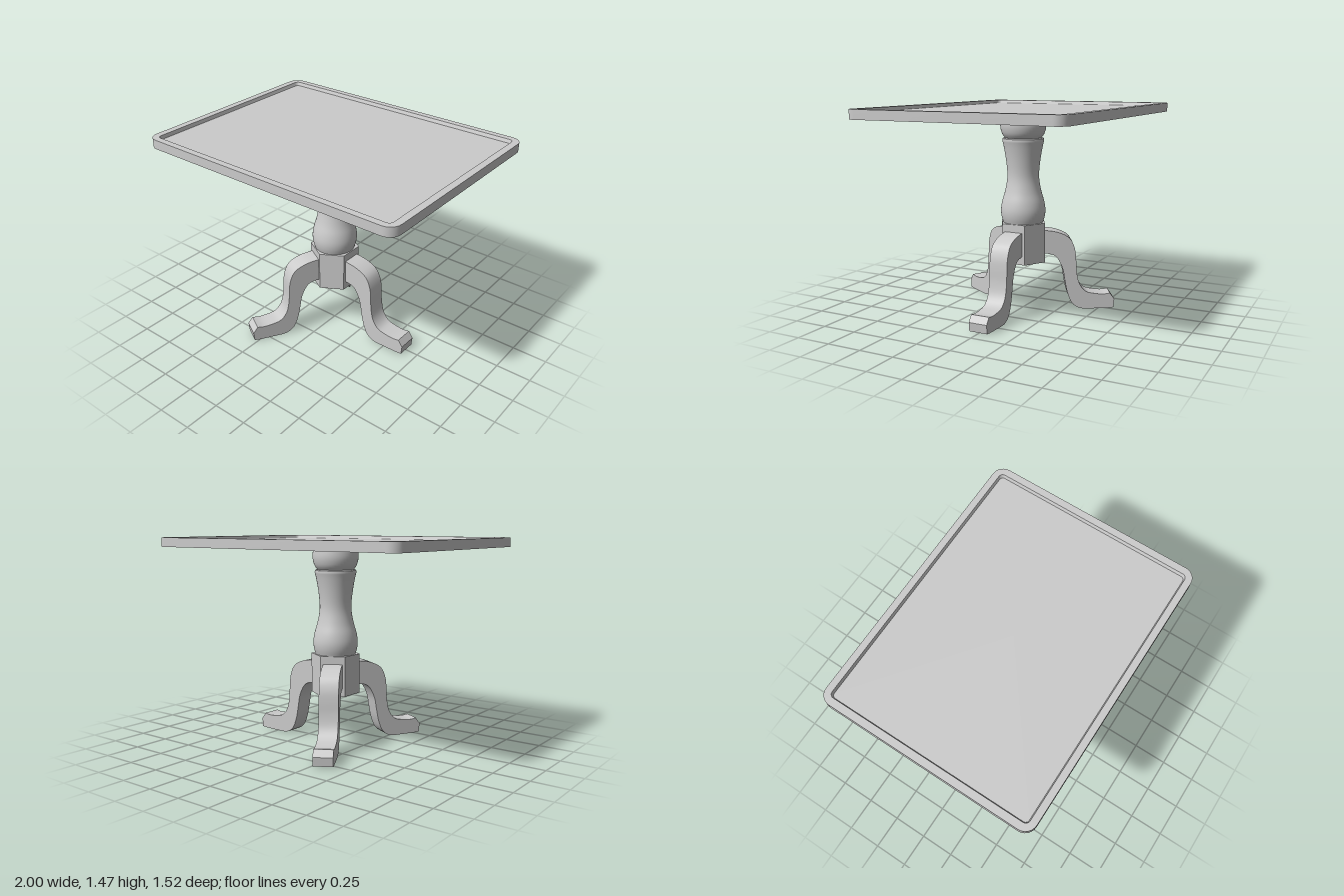
import * as THREE from 'three';
import { toCreasedNormals } from 'three/addons/utils/BufferGeometryUtils.js';

const grey = new THREE.MeshStandardMaterial({ color: 0xcccccc });
const greyThin = new THREE.MeshStandardMaterial({ color: 0xcccccc, side: THREE.DoubleSide });

function part(name, geometry, material = grey) {
  const mesh = new THREE.Mesh(geometry, material);
  mesh.name = name;
  return mesh;
}

const vectors = (pairs) => pairs.map(([x, y]) => new THREE.Vector2(x, y));
const smooth = (pairs, n) => new THREE.SplineCurve(vectors(pairs)).getPoints(n);

// Rounded rectangle ring at height y, counterclockwise seen from above
function ring(halfX, halfZ, radius, y, steps = 6) {
  const points = [];
  [[1, 1], [-1, 1], [-1, -1], [1, -1]].forEach(([sx, sz], corner) => {
    for (let i = 0; i <= steps; i++) {
      const a = (corner + i / steps) * Math.PI / 2;
      points.push([
        sx * (halfX - radius) + radius * Math.cos(a),
        y,
        -sz * (halfZ - radius) - radius * Math.sin(a),
      ]);
    }
  });
  return points;
}

// Skin over successive rings of equal point count
function loft(rings) {
  const n = rings[0].length;
  const index = [];
  for (let r = 0; r < rings.length - 1; r++) {
    for (let j = 0; j < n; j++) {
      const a = r * n + j, b = r * n + (j + 1) % n;
      index.push(a, b, b + n, a, b + n, a + n);
    }
  }
  const geometry = new THREE.BufferGeometry();
  geometry.setAttribute('position', new THREE.Float32BufferAttribute(rings.flat(2), 3));
  geometry.setIndex(index);
  return toCreasedNormals(geometry, 0.5);
}

// Side outline of a leg, running outwards along +x
function legGeometry() {
  const upper = smooth([[0.1, 0.587], [0.16, 0.583], [0.25, 0.567], [0.33, 0.525], [0.367, 0.45],
    [0.378, 0.37], [0.383, 0.28], [0.403, 0.19], [0.45, 0.13], [0.52, 0.112], [0.58, 0.107], [0.628, 0.114]], 36);
  const lower = smooth([[0.62, 0.002], [0.5, 0], [0.41, 0.004], [0.35, 0.045], [0.315, 0.13], [0.297, 0.22],
    [0.28, 0.305], [0.24, 0.382], [0.19, 0.41], [0.1, 0.418]], 32);
  const outline = [...upper, ...vectors([[0.661, 0.068], [0.655, 0.006]]), ...lower];
  const geometry = new THREE.ExtrudeGeometry(new THREE.Shape(outline), { depth: 0.135, bevelEnabled: false });
  geometry.translate(0, 0, -0.0675);
  return toCreasedNormals(geometry, 0.5);
}

export function createModel() {
  const table = new THREE.Group();
  table.name = 'pedestalTable';

  // Hollow top: apron, raised rim, sloped step and sunken panel
  table.add(part('tabletop', loft([
    ring(1, 0.762, 0.08, 1.4),
    ring(1, 0.762, 0.08, 1.465),
    ring(0.95, 0.716, 0.03, 1.465),
    ring(0.942, 0.708, 0.025, 1.44),
    ring(0, 0, 0, 1.44),
  ]), greyThin));

  // Turned column: lower vase, then the cap above the groove
  const vase = smooth([[0.142, 0.635], [0.155, 0.68], [0.159, 0.73], [0.15, 0.79], [0.13, 0.86],
    [0.115, 0.94], [0.114, 1.01], [0.124, 1.1], [0.138, 1.18], [0.148, 1.222]], 32);
  const cap = smooth([[0.13, 1.242], [0.15, 1.272], [0.162, 1.32], [0.16, 1.37], [0.152, 1.41], [0.148, 1.438]], 16);
  const profile = [...vase, ...vectors([[0.146, 1.236], [0.138, 1.242]]), ...cap];
  table.add(part('column', toCreasedNormals(new THREE.LatheGeometry(profile, 48), 0.6), greyThin));

  // Six-sided block that carries the legs
  const block = part('legBlock', toCreasedNormals(new THREE.CylinderGeometry(0.174, 0.174, 0.285, 6), 0.5));
  block.position.y = 0.4975;
  table.add(block);

  // Three curved legs, evenly spaced
  const leg = legGeometry();
  for (let i = 0; i < 3; i++) {
    const mesh = part('leg' + (i + 1), leg);
    mesh.rotation.y = i * Math.PI * 2 / 3;
    table.add(mesh);
  }
  return table;
}
